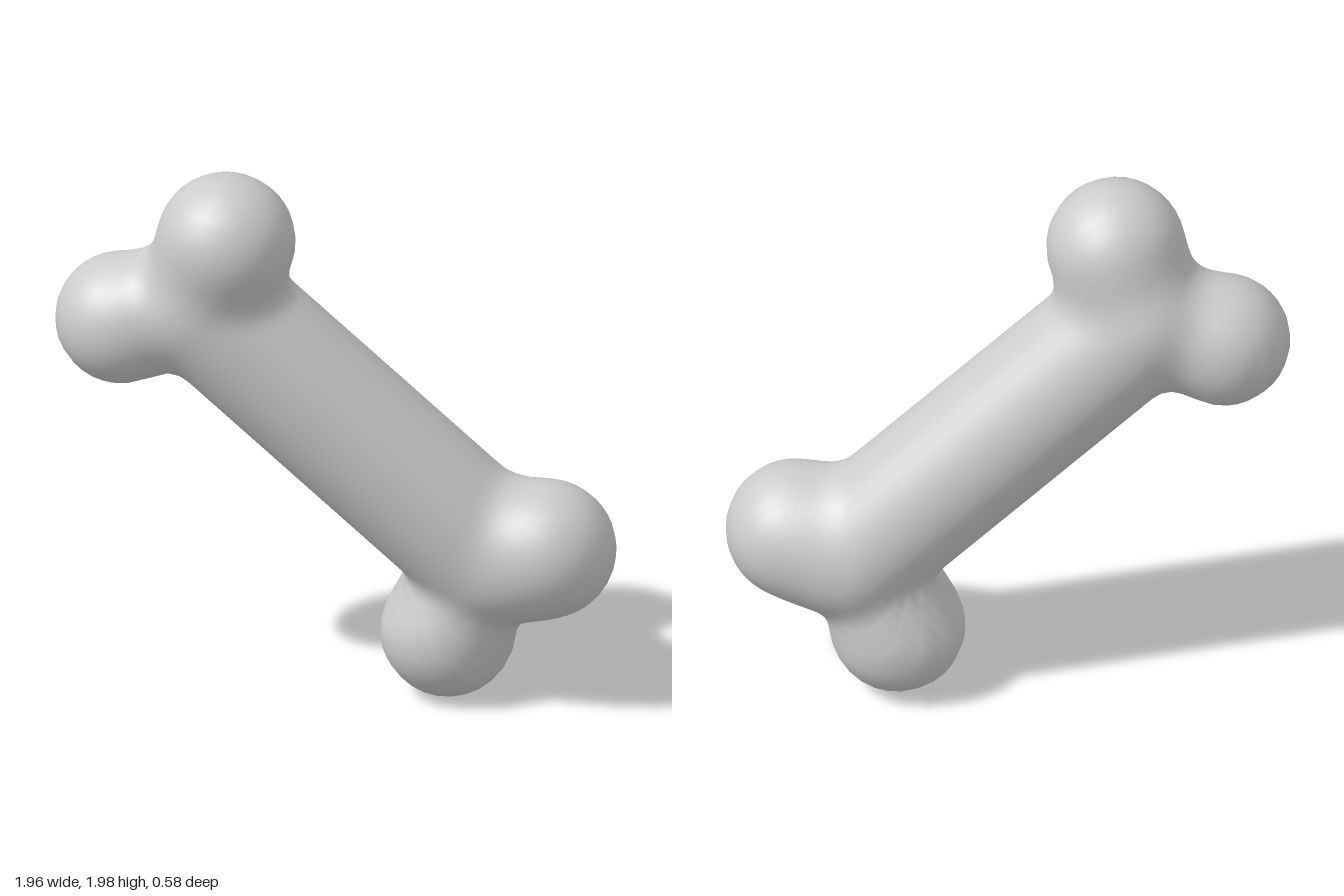
import * as THREE from 'three';
import { mergeVertices } from 'three/addons/utils/BufferGeometryUtils.js';

// Bone laid out along local y; each knob is a centre and a radius
const HALF = 0.775;
const SHAFT = { half: 0.69, radius: 0.253 };
const KNOBS = [
  { c: new THREE.Vector3(0.24, 0.80, 0.065), r: 0.243 },
  { c: new THREE.Vector3(-0.265, 0.835, -0.035), r: 0.232 },
  { c: new THREE.Vector3(0.17, -0.80, 0.06), r: 0.245 },
  { c: new THREE.Vector3(-0.33, -0.79, -0.035), r: 0.237 },
];
const BLEND = 0.1;

// Smooth union of two distances
function blend(a, b) {
  const h = Math.max(BLEND - Math.abs(a - b), 0) / BLEND;
  return Math.min(a, b) - h * h * BLEND / 4;
}

// Distance to the rounded shaft with its four knobs
function distance(p) {
  const y = p.y - THREE.MathUtils.clamp(p.y, -SHAFT.half, SHAFT.half);
  const shaft = Math.hypot(p.x, y, p.z) - SHAFT.radius;
  return KNOBS.reduce((d, k) => blend(d, p.distanceTo(k.c) - k.r), shaft);
}

// Push every vertex of a capsule outward from its axis onto the blended surface
function boneGeometry() {
  const geo = new THREE.CapsuleGeometry(0.1, HALF * 2, 18, 48, 44);
  const pos = geo.attributes.position;
  const p = new THREE.Vector3();
  const dir = new THREE.Vector3();
  for (let i = 0; i < pos.count; i++) {
    dir.fromBufferAttribute(pos, i);
    p.set(0, THREE.MathUtils.clamp(dir.y, -HALF, HALF), 0);
    dir.sub(p).normalize();
    for (let step = 0; step < 60; step++) p.addScaledVector(dir, -distance(p));
    pos.setXYZ(i, p.x, p.y, p.z);
  }
  // Weld the seam so the shading is smooth all round
  geo.deleteAttribute('uv');
  geo.deleteAttribute('normal');
  const welded = mergeVertices(geo, 1e-4);
  welded.computeVertexNormals();
  return welded;
}

export function createModel() {
  const group = new THREE.Group();
  group.name = 'bone';
  const material = new THREE.MeshStandardMaterial({ color: 0xcccccc });
  const bone = new THREE.Mesh(boneGeometry(), material);
  bone.name = 'shaftWithKnobs';
  bone.position.set(0.04, 1.03, -0.025);
  bone.rotation.z = 0.817;
  group.add(bone);
  return group;
}
